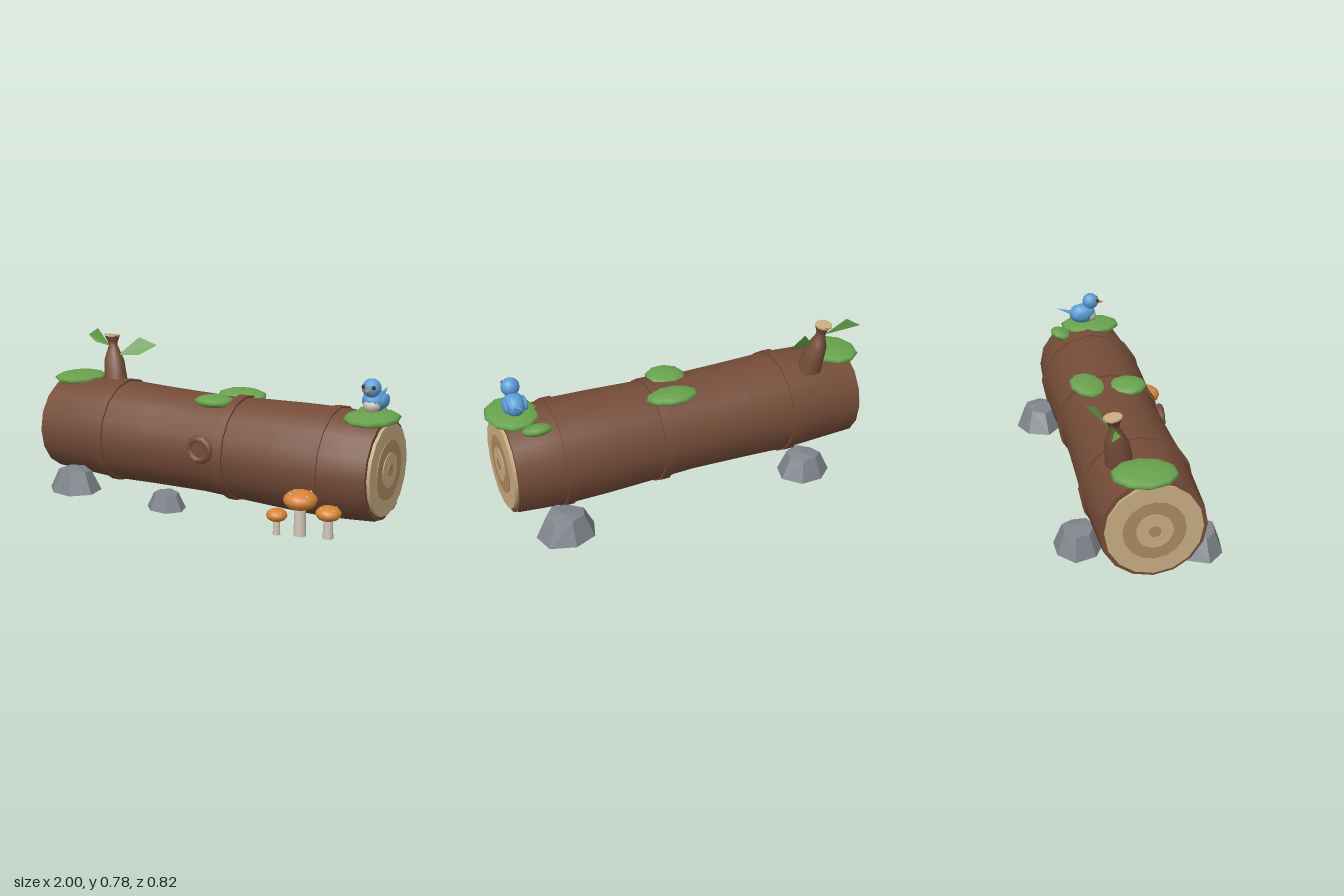
import * as THREE from 'three';
import { ConvexGeometry } from 'three/addons/geometries/ConvexGeometry.js';

const mat = (name, color, side = THREE.FrontSide) => {
  const m = new THREE.MeshStandardMaterial({ color, side });
  m.name = name;
  return m;
};

export function createModel() {
  const bark = mat('bark', 0x754c38), wood = mat('paleWood', 0xc9ad82), ring = mat('ringWood', 0xae8a62);
  const green = mat('green', 0x69a24e, THREE.DoubleSide), stone = mat('stone', 0x80868d);
  const orange = mat('orange', 0xd78436), cream = mat('cream', 0xd3c8b8);
  const blue = mat('blue', 0x5a9dd6), dark = mat('eyeBrown', 0x4a2a22);

  const model = new THREE.Group();
  model.name = 'fallenLog';
  const add = (name, geometry, material, pos = [0, 0, 0], parent = model) => {
    const mesh = new THREE.Mesh(geometry, material);
    mesh.name = name;
    mesh.position.set(...pos);
    parent.add(mesh);
    return mesh;
  };
  const group = (name, pos) => {
    const g = new THREE.Group();
    g.name = name;
    g.position.set(...pos);
    model.add(g);
    return g;
  };
  const ball = (name, material, pos, radii, parent, w = 12, h = 8) => {
    const mesh = add(name, new THREE.SphereGeometry(1, w, h), material, pos, parent);
    mesh.scale.set(...radii);
    return mesh;
  };
  const profile = (pairs) => pairs.map(([r, y]) => new THREE.Vector2(r, y));

  // Log: built upright, then laid along x
  const log = group('log', [0, 0.285, 0.011]);
  log.rotation.z = -Math.PI / 2;
  add('barkShell', new THREE.LatheGeometry(profile([
    [0.247, -0.93], [0.255, -0.75], [0.264, -0.55], [0.256, -0.3], [0.25, 0],
    [0.257, 0.2], [0.265, 0.45], [0.268, 0.67], [0.26, 0.8], [0.25, 0.93]]), 16), bark, [0, 0, 0], log);
  add('barkRim', new THREE.CylinderGeometry(0.247, 0.247, 1.858, 16), bark, [0, 0, 0], log);
  for (const [x, r] of [[-0.55, 0.272], [0.16, 0.267], [0.67, 0.275]])
    add('barkBand', new THREE.CylinderGeometry(r, r, 0.048, 16), bark, [0, x, 0], log);

  // Growth rings: each disc runs through and shows at both ends
  [[0.225, 1.89, wood], [0.145, 1.898, ring], [0.085, 1.906, wood], [0.028, 1.912, ring]].forEach(([r, len, m], i) =>
    add('growthRing' + (i + 1), new THREE.CylinderGeometry(r, r, len, 16), m, [0, 0, 0], log));

  // Knot on the front
  const knot = group('knot', [0.06, 0.318, 0.264]);
  add('knotRim', new THREE.TorusGeometry(0.055, 0.02, 6, 10), bark, [0, 0, 0], knot);
  add('knotCore', new THREE.CylinderGeometry(0.045, 0.045, 0.02, 10).rotateX(Math.PI / 2), bark, [0, 0, 0], knot);

  // Broken branch: a flared lathe, sheared to lean
  const lean = new THREE.Matrix4().set(1, -0.19, 0, 0, 0, 1, 0, 0, 0, -0.16, 1, 0, 0, 0, 0, 1);
  const branch = group('branch', [-0.695, 0.52, -0.1]);
  add('branchBark', new THREE.LatheGeometry(profile([
    [0.068, -0.03], [0.063, 0.03], [0.056, 0.1], [0.038, 0.145], [0.024, 0.18], [0.028, 0.2], [0.043, 0.232]]), 10)
    .applyMatrix4(lean), bark, [0, 0, 0], branch);
  add('branchCut', new THREE.CylinderGeometry(0.044, 0.044, 0.008, 10), wood, [-0.044, 0.233, -0.037], branch)
    .rotation.x = -0.15;

  // Leaves: two triangles folded along the midrib (base, upper corner, tip, lower corner)
  const leaf = (name, base, upper, tip, lower) => {
    const g = new THREE.BufferGeometry();
    g.setAttribute('position', new THREE.Float32BufferAttribute([base, tip, upper, base, lower, tip].flat(), 3));
    g.computeVertexNormals();
    add(name, g, green);
  };
  leaf('leftLeaf', [-0.69, 0.65, -0.12], [-0.6, 0.745, -0.19], [-0.505, 0.705, -0.22], [-0.575, 0.657, -0.15]);
  leaf('rightLeaf', [-0.75, 0.693, -0.13], [-0.855, 0.777, -0.165], [-0.93, 0.733, -0.18], [-0.84, 0.71, -0.12]);

  // Moss cushions: centre, radii, tilt
  for (const [pos, radii, tilt] of [
    [[-0.868, 0.532, -0.02], [0.132, 0.03, 0.155], 0],
    [[0.865, 0.532, 0.04], [0.132, 0.031, 0.165], 0],
    [[0.795, 0.518, -0.135], [0.075, 0.028, 0.06], -0.3],
    [[0.09, 0.521, -0.105], [0.135, 0.032, 0.095], -0.1],
    [[0.043, 0.524, 0.088], [0.105, 0.031, 0.1], 0.05]])
    ball('moss', green, pos, radii, model, 10, 8).rotation.x = -tilt * 1;

  // Bird, facing the front
  const bird = group('bird', [0.86, 0, 0]);
  ball('body', blue, [0, 0.605, -0.002], [0.053, 0.055, 0.074], bird);
  ball('belly', cream, [0, 0.592, 0.036], [0.042, 0.036, 0.04], bird);
  ball('head', blue, [0, 0.675, 0.044], [0.046, 0.045, 0.045], bird);
  const beak = add('beak', new THREE.ConeGeometry(0.013, 0.042, 8), orange, [0, 0.668, 0.1], bird);
  beak.rotation.x = Math.PI / 2;
  const tail = add('tail', new THREE.ConeGeometry(0.026, 0.11, 6), blue, [0, 0.626, -0.097], bird);
  tail.rotation.x = -1.22;
  tail.scale.z = 0.5;
  for (const s of [-1, 1]) {
    ball('eye', dark, [s * 0.025, 0.685, 0.08], [0.01, 0.01, 0.01], bird, 8, 6);
    ball('wing', blue, [s * 0.047, 0.608, -0.012], [0.013, 0.033, 0.05], bird, 10, 6);
  }

  // Mushrooms: x, z, cap centre height, cap radius, cap half height, stem radius
  for (const [x, z, y, r, h, stem] of [
    [0.64, 0.318, 0.173, 0.081, 0.047, 0.03],
    [0.54, 0.36, 0.095, 0.05, 0.031, 0.018],
    [0.77, 0.287, 0.12, 0.061, 0.036, 0.025]]) {
    const shroom = group('mushroom', [x, 0, z]);
    add('stem', new THREE.CylinderGeometry(stem * 0.85, stem, y, 10), cream, [0, y / 2, 0], shroom);
    ball('cap', orange, [0, y, 0], [r, h, r], shroom, 14, 8);
    for (let i = 0; i < 4; i++) {
      const a = i * 1.6 + 0.6, e = 0.7 + 0.15 * (i % 2), c = Math.cos(e);
      ball('capSpot', cream, [r * c * Math.cos(a), y + h * Math.sin(e), r * c * Math.sin(a)],
        [r * 0.08, r * 0.06, r * 0.08], shroom, 6, 4);
    }
  }

  // Rocks: faceted hulls, wide below with a small uneven crown
  const rock = (x, z, rx, h, rz, turn) => {
    const pts = [];
    for (const [scale, y] of [[1, 0], [0.64, 0.9]])
      for (let i = 0; i < 7; i++) {
        const a = turn + i * Math.PI * 2 / 7, k = scale * (1 + 0.06 * Math.sin(i * 2.4 + turn));
        pts.push(new THREE.Vector3(rx * k * Math.cos(a), h * (y && y + 0.06 * Math.sin(i * 1.7 + turn)), rz * k * Math.sin(a)));
      }
    pts.push(new THREE.Vector3(rx * 0.1, h, -rz * 0.1));
    add('rock', new ConvexGeometry(pts), stone, [x, 0, z]);
  };
  rock(-0.695, 0.285, 0.137, 0.12, 0.122, 0.3);
  rock(-0.115, 0.3, 0.103, 0.09, 0.085, 1.1);
  rock(-0.58, -0.275, 0.132, 0.12, 0.122, 0.7);
  rock(0.725, -0.28, 0.148, 0.126, 0.13, 0.2);

  return model;
}
